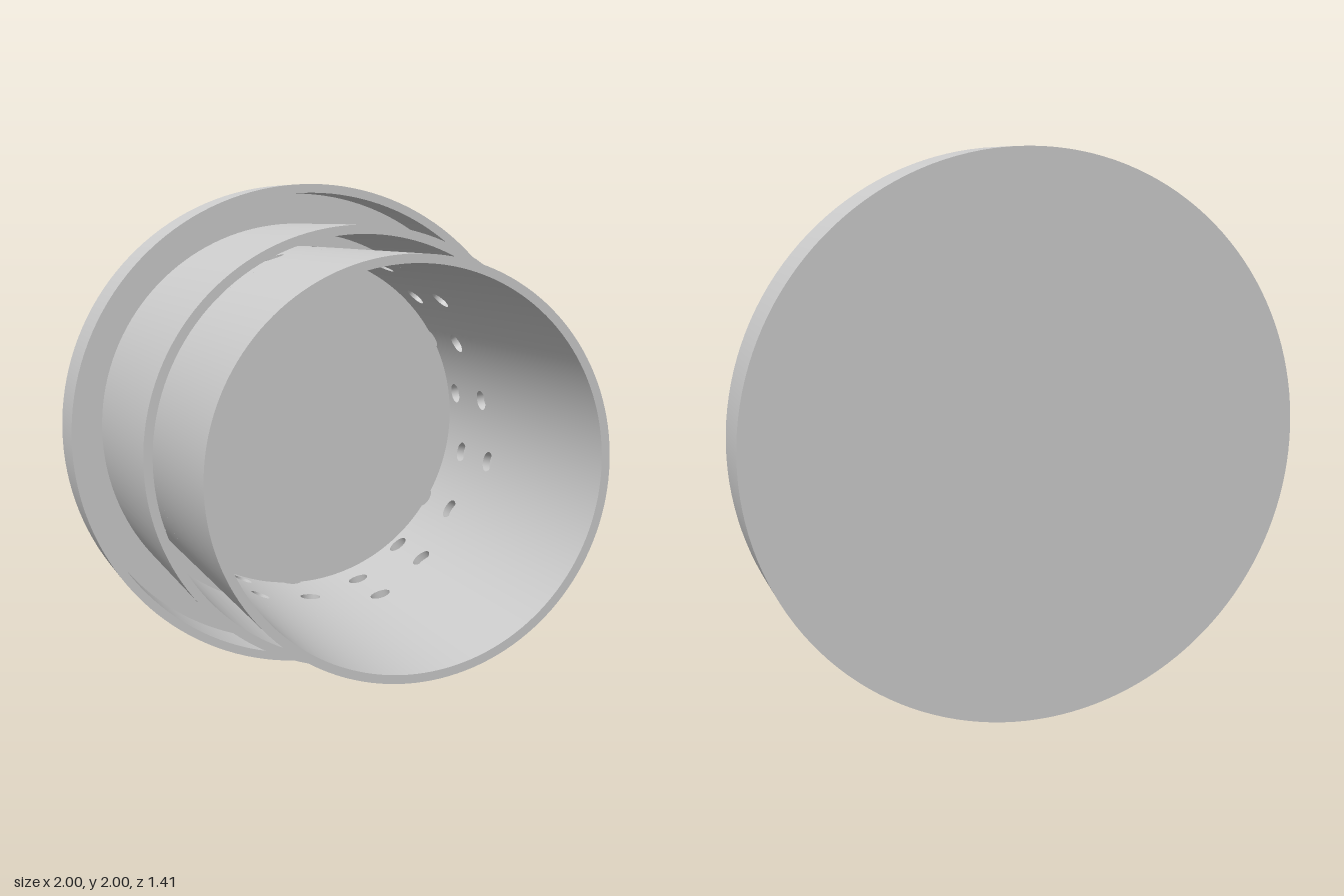
import * as THREE from 'three';
import { mergeGeometries } from 'three/addons/utils/BufferGeometryUtils.js';

const SEGMENTS = 144;
const BACK = -0.705, FLOOR = -0.685;
const R_OUT = 0.747, R_IN = 0.715;   // perforated tube radii
const BAND_TOP = -0.1;               // front limit of the perforated band
const HOLE = 0.043;
const COLUMNS = 18;

const material = new THREE.MeshStandardMaterial({ color: 0xcccccc });

// Revolve a [radius, z] profile about the z axis, keeping every corner sharp
function revolve(points) {
  const bands = [];
  for (let i = 0; i + 1 < points.length; i++) {
    const pair = [points[i], points[i + 1]].map(([r, z]) => new THREE.Vector2(r, z));
    bands.push(new THREE.LatheGeometry(pair, SEGMENTS));
  }
  return mergeGeometries(bands).rotateX(Math.PI / 2);
}

// Grid surface; f(i, j) returns { p, n } for position and normal
function grid(nu, nv, f, flip = false) {
  const pos = [], nor = [], index = [];
  for (let i = 0; i <= nu; i++) {
    for (let j = 0; j <= nv; j++) {
      const { p, n } = f(i, j);
      pos.push(...p);
      nor.push(...n);
      if (i === nu || j === nv) continue;
      const a = i * (nv + 1) + j, b = a + 1, c = a + nv + 1, d = c + 1;
      if (flip) index.push(a, c, b, b, c, d);
      else index.push(a, b, c, b, d, c);
    }
  }
  const g = new THREE.BufferGeometry();
  g.setAttribute('position', new THREE.Float32BufferAttribute(pos, 3));
  g.setAttribute('normal', new THREE.Float32BufferAttribute(nor, 3));
  g.setIndex(index);
  return g;
}

// Point on the border of the square [-1, 1], walked counter-clockwise, 8 steps a side
function squareBorder(i) {
  const side = Math.floor(i / 8) % 4, t = (i % 8) / 4 - 1;
  return [[1, t], [-t, 1], [-1, -t], [t, -1]][side];
}

// Curved wall tile with one round hole, closed by a lip through the thickness
function holeTile(angle, z, top, bottom) {
  const half = Math.PI / COLUMNS;
  const place = (a, zz, r) => [r * Math.cos(a), r * Math.sin(a), Math.max(zz, FLOOR - 0.005)];
  const rim = (i) => {
    const [sx, sy] = squareBorder(i), l = Math.hypot(sx, sy);
    return { sx, sy, cx: sx / l, cy: sy / l };
  };
  const wall = (r, flip) => grid(32, 4, (i, j) => {
    const { sx, sy, cx, cy } = rim(i), t = j / 4;
    const da = THREE.MathUtils.lerp(cx * HOLE / R_OUT, sx * half, t);
    const dz = THREE.MathUtils.lerp(cy * HOLE, sy * (sy > 0 ? top - z : z - bottom), t);
    const a = angle + da, s = flip ? -1 : 1;
    return { p: place(a, z + dz, r), n: [s * Math.cos(a), s * Math.sin(a), 0] };
  }, flip);
  const lip = grid(32, 1, (i, j) => {
    const { cx, cy } = rim(i);
    return {
      p: place(angle + cx * HOLE / R_OUT, z + cy * HOLE, j ? R_OUT : R_IN),
      n: [cx * Math.sin(angle), -cx * Math.cos(angle), -cy],
    };
  });
  return [wall(R_OUT, false), wall(R_IN, true), lip];
}

export function createModel() {
  const model = new THREE.Group();
  const body = new THREE.Group();
  body.name = 'nestedCup';
  body.position.y = 1;
  model.add(body);

  const add = (name, geometry, parent = body) => {
    const mesh = new THREE.Mesh(geometry, material);
    mesh.name = name;
    parent.add(mesh);
  };

  // Closed back plate with its short outer wall
  add('backFlange', revolve([
    [0, BACK], [1, BACK], [1, -0.455], [0.965, -0.455], [0.965, FLOOR], [0, FLOOR],
  ]));

  // Plain middle tube
  add('middleTube', revolve([
    [0.84, FLOOR], [0.84, 0.175], [0.806, 0.175], [0.806, FLOOR],
  ]));

  // Inner tube: plain front part and a perforated band near the floor
  const tube = new THREE.Group();
  tube.name = 'innerTube';
  body.add(tube);
  add('tubeFront', revolve([
    [R_OUT, BAND_TOP], [R_OUT, 0.705], [R_IN, 0.705], [R_IN, BAND_TOP],
  ]), tube);

  // Two holes per column, stepping back over every three columns
  const tiles = [];
  for (let k = 0; k < COLUMNS; k++) {
    const angle = THREE.MathUtils.degToRad(168 + k * 20);
    const z1 = -0.24 - 0.092 * (k % 3), z2 = z1 - 0.275;
    const middle = (z1 + z2) / 2;
    tiles.push(...holeTile(angle, z1, BAND_TOP, middle));
    tiles.push(...holeTile(angle, z2, middle, -0.76));
  }
  add('perforatedBand', mergeGeometries(tiles), tube);

  return model;
}
